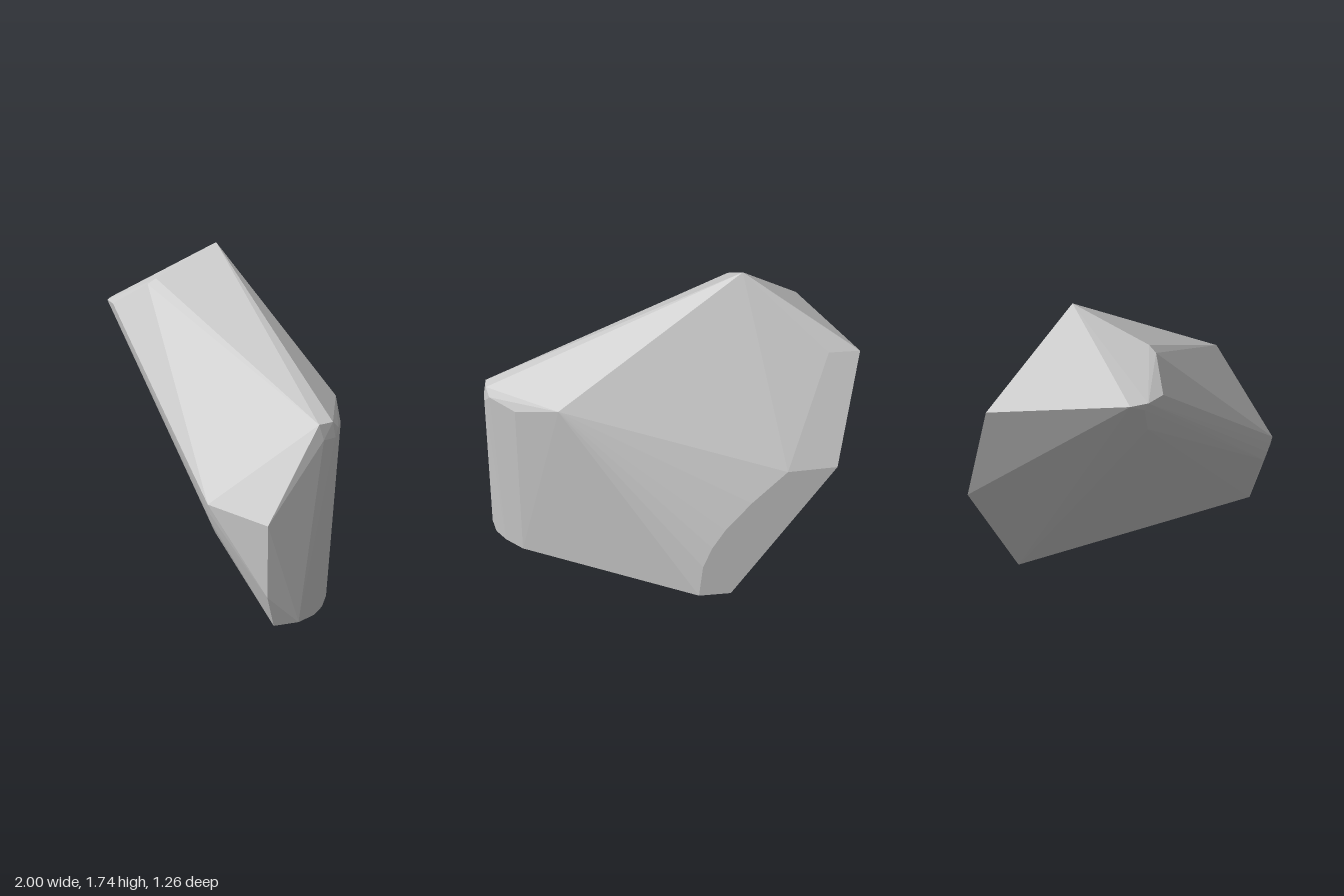
import * as THREE from 'three';
import { ConvexGeometry } from 'three/addons/geometries/ConvexGeometry.js';

export function createModel() {
  const group = new THREE.Group();
  group.name = 'rock';
  const stone = new THREE.MeshStandardMaterial({ color: 0xc8c8c8, flatShading: true });
  stone.name = 'light grey stone';

  // Corners of the boulder, grouped by region; the hull joins them into facets
  const crest = [[-0.4, 1.74, -0.2], [-0.4, 1.57, 0.22], [-0.42, 1.54, 0.265]];
  const rightShoulder = [
    [-1, 1.35, -0.42], [-0.83, 1.35, -0.42],
    [-0.81, 1.41, 0.27], [-0.74, 1.41, 0.34], [-0.62, 1.41, 0.375],
  ];
  // Rounded ridge running diagonally across the front
  const frontRidge = [
    [-0.74, 1.37, 0.32], [-0.595, 1.33, 0.366], [-0.6, 1.27, 0.335], [-0.61, 1.2, 0.29],
    [0.67, 0.61, 0.63], [0.67, 0.56, 0.62], [0.665, 0.505, 0.605], [0.66, 0.45, 0.58],
  ];
  const leftEnd = [
    [0.98, 1.02, 0.17], [0.98, 1.02, 0.08], [0.965, 0.98, 0.03], [0.83, 0.95, -0.105],
    [0.6, 1.02, -0.27], [0.995, 0.94, 0.15], [0.99, 0.94, 0.07],
    [0.97, 0.55, 0.48], [0.97, 0.17, 0.48],
  ];
  const base = [
    [0.96, 0, 0.43], [1, 0, 0.3], [0.98, 0, 0.18], [0.925, 0, 0.08], [0.83, 0, -0.03],
  ];
  // Flat cut on the back with a rounded inner edge
  const backCut = [
    [-0.86, 0.77], [-0.3, 0], [-0.12, 0], [-0.14, 0.19], [-0.19, 0.31],
    [-0.26, 0.42], [-0.4, 0.58], [-0.59, 0.76],
  ].map(([x, y]) => [x, y, -0.63]);

  const corners = [crest, rightShoulder, frontRidge, leftEnd, base, backCut]
    .flat()
    .map((p) => new THREE.Vector3(...p));
  const boulder = new THREE.Mesh(new ConvexGeometry(corners), stone);
  boulder.name = 'boulder';
  group.add(boulder);
  return group;
}
